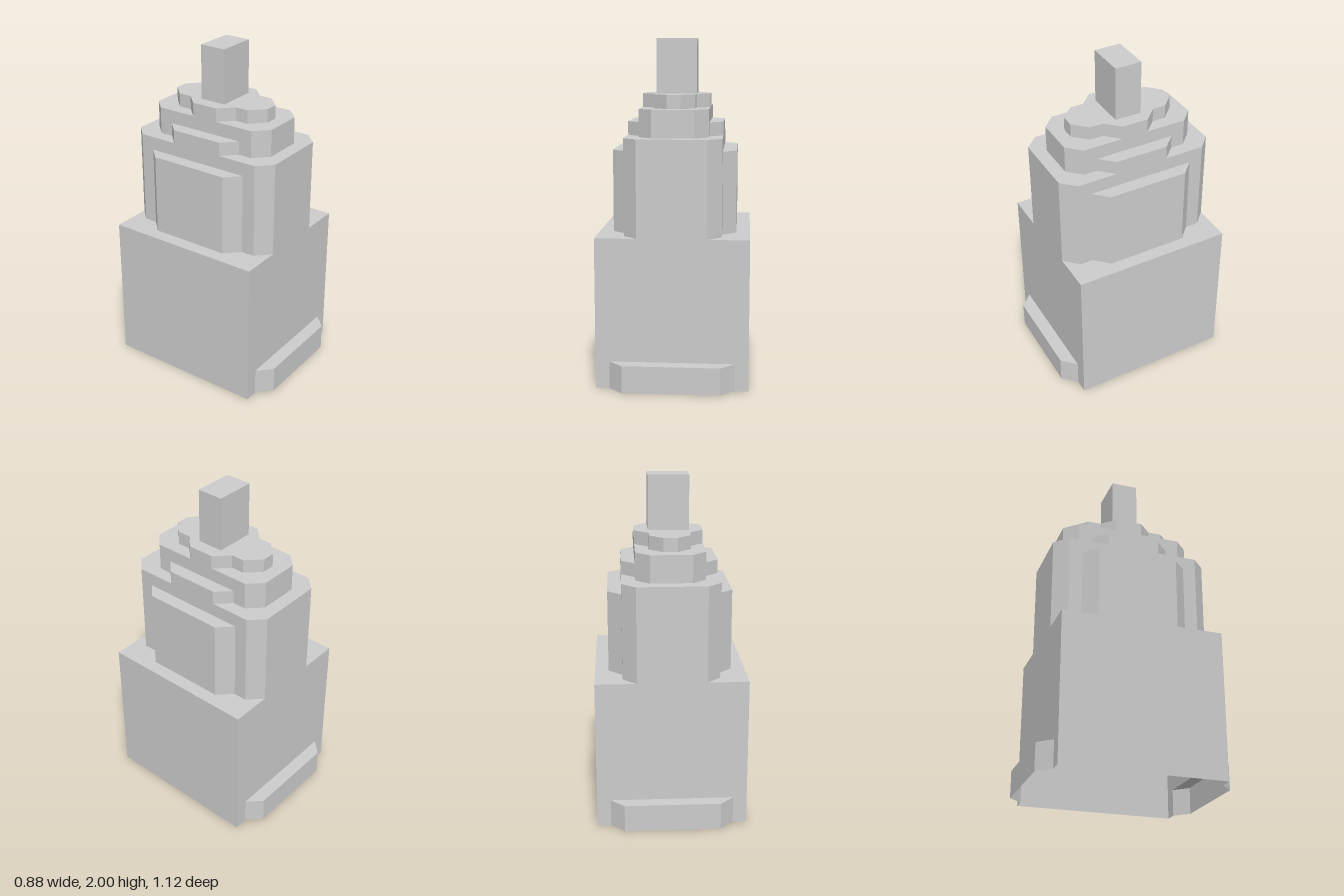
import * as THREE from 'three';
import { mergeGeometries } from 'three/addons/utils/BufferGeometryUtils.js';

// Tiers from the ground up. Each footprint is one quarter of the plan,
// as [x, z] corners running from the front face round to the left face.
const tiers = [
  { name: 'entranceSteps', top: 0.16, plan: [[0.28, 0.56], [0.36, 0.48], [0.44, 0.48]] },
  { name: 'baseBlock', top: 0.88, plan: [[0.44, 0.48]] },
  { name: 'shaftWithSideBays', top: 1.36, plan: [[0.2, 0.48], [0.28, 0.4], [0.28, 0.32], [0.36, 0.24]] },
  { name: 'shaftTop', top: 1.44, plan: [[0.2, 0.48], [0.28, 0.4]] },
  { name: 'upperTierWithSideBays', top: 1.52, plan: [[0.12, 0.4], [0.2, 0.32], [0.2, 0.24], [0.28, 0.16]] },
  { name: 'upperTier', top: 1.6, plan: [[0.12, 0.4], [0.2, 0.32]] },
  { name: 'crown', top: 1.68, plan: [[0.04, 0.32], [0.12, 0.24], [0.12, 0.16], [0.2, 0.08]] },
  { name: 'spire', top: 2, plan: [[0.12, 0.08]] },
];

// Vertical walls around the whole plan, mirrored from its quarter
function wallGeometry(plan, y0, y1) {
  const mirror = (sx, sz) => plan.map(([x, z]) => [sx * x, sz * z]);
  const loop = [
    ...mirror(1, 1), ...mirror(1, -1).reverse(),
    ...mirror(-1, -1), ...mirror(-1, 1).reverse(),
  ];
  const positions = [];
  loop.forEach(([ax, az], i) => {
    const [bx, bz] = loop[(i + 1) % loop.length];
    positions.push(
      ax, y0, az, bx, y0, bz, bx, y1, bz,
      ax, y0, az, bx, y1, bz, ax, y1, az,
    );
  });
  const geometry = new THREE.BufferGeometry();
  geometry.setAttribute('position', new THREE.Float32BufferAttribute(positions, 3));
  geometry.computeVertexNormals();
  return geometry;
}

// Extend a quarter plan to the two centre lines
const toAxes = (plan) => [[0, plan[0][1]], ...plan, [plan[plan.length - 1][0], 0]];

// Flat terrace between a tier's outline and the outline of the tier above
function terraceGeometry(plan, planAbove, y) {
  const inner = planAbove ? toAxes(planAbove).reverse() : [[0, 0]];
  const outline = [...toAxes(plan), ...inner];
  const quarters = [];
  for (const sx of [1, -1]) {
    for (const sz of [1, -1]) {
      const shape = new THREE.Shape(outline.map(([x, z]) => new THREE.Vector2(sx * x, -sz * z)));
      quarters.push(new THREE.ShapeGeometry(shape));
    }
  }
  return mergeGeometries(quarters).rotateX(-Math.PI / 2).translate(0, y, 0);
}

export function createModel() {
  const model = new THREE.Group();
  model.name = 'steppedTower';
  // The tower is a hollow shell, open underneath
  const material = new THREE.MeshStandardMaterial({
    color: 0xcccccc, flatShading: true, side: THREE.DoubleSide,
  });

  let bottom = 0;
  tiers.forEach(({ name, top, plan }, i) => {
    const tier = new THREE.Group();
    tier.name = name;
    const walls = new THREE.Mesh(wallGeometry(plan, bottom, top), material);
    walls.name = name + 'Walls';
    const terrace = new THREE.Mesh(terraceGeometry(plan, tiers[i + 1]?.plan, top), material);
    terrace.name = name + 'Roof';
    tier.add(walls, terrace);
    model.add(tier);
    bottom = top;
  });
  return model;
}
